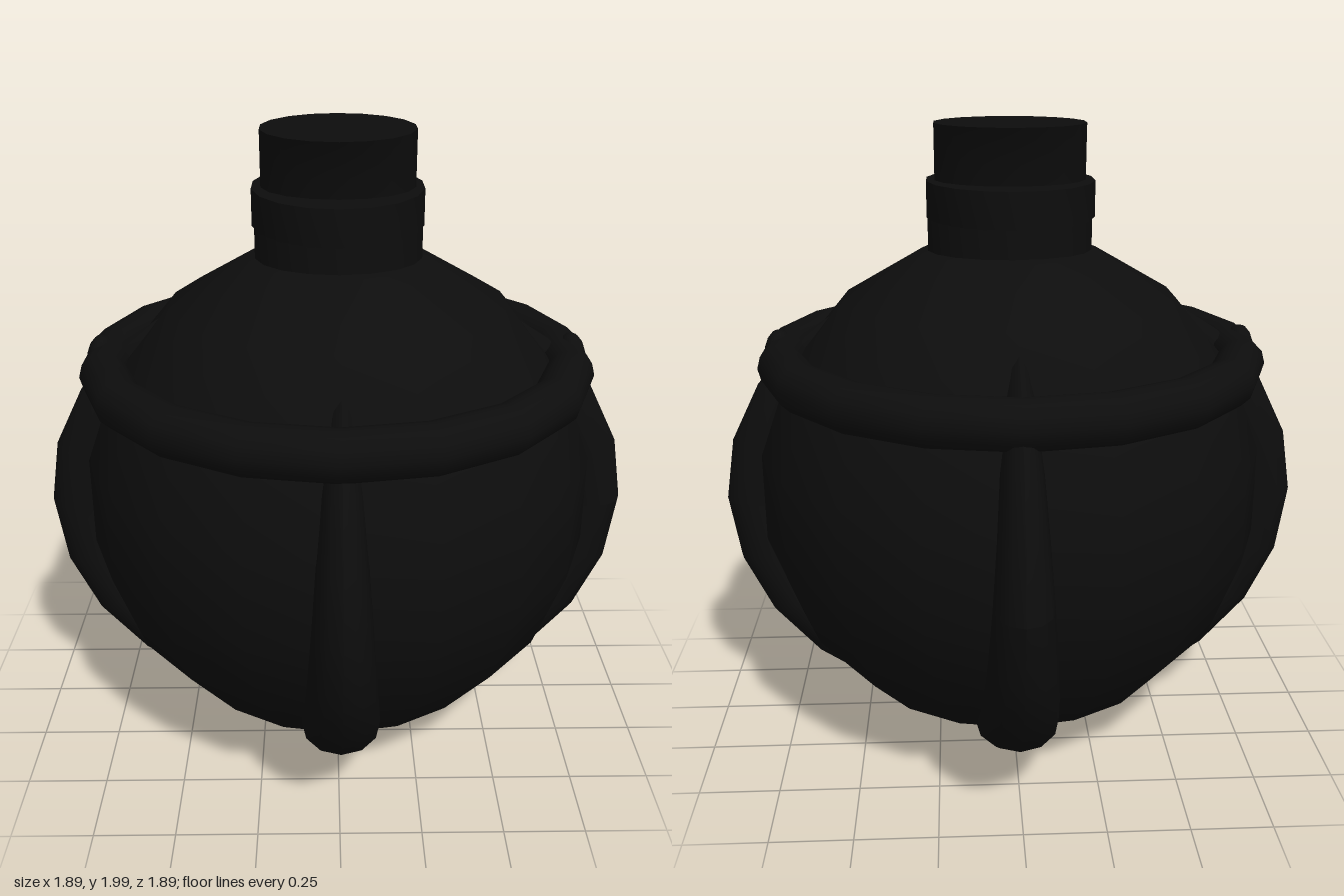
import * as THREE from 'three';
import { toCreasedNormals } from 'three/addons/utils/BufferGeometryUtils.js';

const SEGS = 18;
const dark = new THREE.MeshStandardMaterial({ color: 0x0d0d0d });

// Stack of elliptical sections [y, halfWidthX, halfWidthZ]
function ellipticLathe(sections) {
  const n = sections.length;
  const geo = new THREE.LatheGeometry(sections.map(([y]) => new THREE.Vector2(1, y)), SEGS);
  const pos = geo.attributes.position;
  for (let i = 0; i < pos.count; i++) {
    const [y, rx, rz] = sections[i % n];
    pos.setXYZ(i, pos.getX(i) * rx, y, pos.getZ(i) * rz);
  }
  return toCreasedNormals(geo, 0.7);
}

// Upright flattened hoop whose width tapers towards the top
function strapGeometry() {
  const geo = new THREE.TorusGeometry(0.835, 0.11, 12, 24);
  const pos = geo.attributes.position;
  for (let i = 0; i < pos.count; i++) {
    const y = pos.getY(i) * 0.83;
    const halfWidth = 0.085 - 0.072 * y;
    pos.setY(i, y);
    pos.setZ(i, pos.getZ(i) * halfWidth / 0.11);
  }
  geo.computeVertexNormals();
  return geo;
}

export function createModel() {
  const group = new THREE.Group();
  const add = (name, geometry, x, y, z) => {
    const mesh = new THREE.Mesh(geometry, dark);
    mesh.name = name;
    mesh.position.set(x, y, z);
    group.add(mesh);
    return mesh;
  };

  // Round flask body
  const body = add('body', new THREE.SphereGeometry(0.817, SEGS, 9), 0.005, 0.844, 0.015);
  body.rotation.y = Math.PI / SEGS;

  // Shoulder ring
  const ringGeo = new THREE.TorusGeometry(0.73, 0.075, 12, SEGS);
  ringGeo.rotateX(Math.PI / 2).rotateY(Math.PI / SEGS);
  add('shoulderRing', ringGeo, 0, 1.27, 0.02);

  // Two crossing hoops make the four straps
  const hoop = strapGeometry();
  add('sideStraps', hoop, 0, 0.79, 0.025);
  add('frontBackStraps', hoop, 0.005, 0.79, 0).rotation.y = Math.PI / 2;

  // Knobs where the side straps meet the ring
  for (const side of [-1, 1]) {
    const knob = add(side > 0 ? 'leftKnob' : 'rightKnob',
      new THREE.SphereGeometry(1, 12, 8), side * 0.742, 1.27, 0.025);
    knob.scale.set(0.05, 0.09, 0.08);
  }

  // Neck, oval lip and flared stopper
  add('neck', ellipticLathe([
    [1.5, 0.258, 0.24], [1.76, 0.258, 0.24],
  ]), 0.005, 0, 0.02);
  add('lip', ellipticLathe([
    [1.72, 0, 0], [1.72, 0.262, 0.336], [1.83, 0.262, 0.336], [1.83, 0, 0],
  ]), 0.003, 0, 0.02);
  add('stopper', ellipticLathe([
    [1.78, 0.235, 0.205], [1.83, 0.235, 0.213], [1.89, 0.235, 0.228],
    [1.95, 0.235, 0.245], [2, 0.235, 0.272], [2, 0, 0],
  ]), 0.004, 0, 0.02);

  return group;
}
